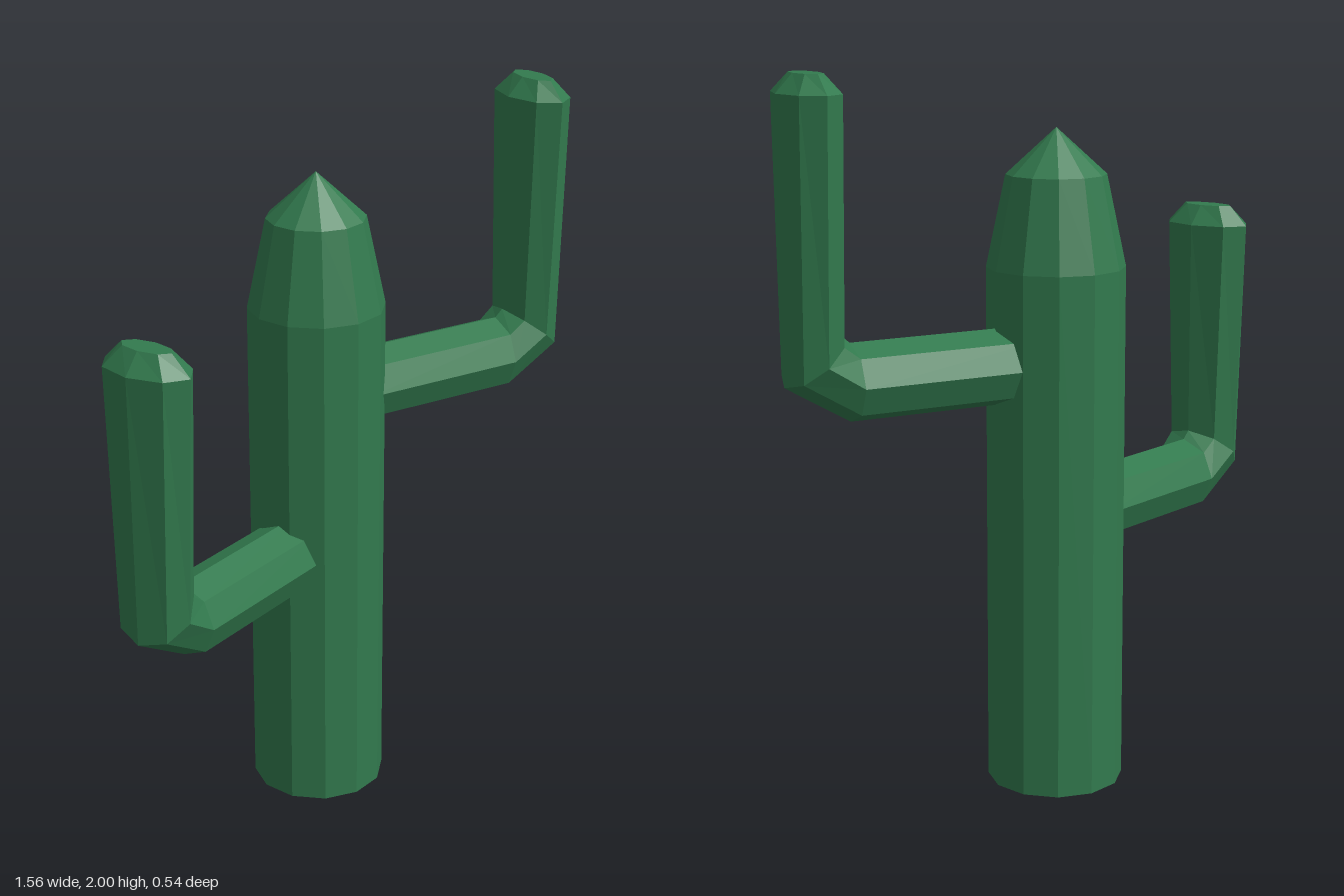
import * as THREE from 'three';

const SIDES = 8;

// Skin a list of rings (each an array of SIDES points) and close the last one
function loft(rings) {
  const pos = rings.flat(2);
  const idx = [];
  for (let i = 0; i < rings.length - 1; i++) {
    for (let j = 0; j < SIDES; j++) {
      const k = (j + 1) % SIDES;
      const a = i * SIDES + j, b = i * SIDES + k;
      const c = a + SIDES, d = b + SIDES;
      idx.push(a, c, d, a, d, b);
    }
  }
  const last = (rings.length - 1) * SIDES;
  for (let j = 1; j < SIDES - 1; j++) idx.push(last, last + j + 1, last + j);
  const indexed = new THREE.BufferGeometry();
  indexed.setAttribute('position', new THREE.Float32BufferAttribute(pos, 3));
  indexed.setIndex(idx);
  const geo = indexed.toNonIndexed();
  geo.computeVertexNormals();
  return geo;
}

function ring(fn) {
  return Array.from({ length: SIDES }, (_, j) => {
    const t = (j / SIDES) * Math.PI * 2;
    return fn(Math.cos(t), Math.sin(t));
  });
}

// Arm reaching out along +x, then turning upwards
function armGeometry(y, shoulder, tip) {
  const reach = 0.713;
  const across = (x, r) => ring((c, s) => [x, y + r * s, r * c]);
  const upright = (h, depth, width, tilt = 0) =>
    ring((c, s) => [reach - depth * s, h + tilt * s, width * c]);
  return loft([
    across(0.1, 0.105),
    across(0.61, 0.105),
    upright(y + 0.065, 0.08, 0.11, 0.062), // slanted elbow ring
    upright(shoulder, 0.083, 0.137),       // widened top
    upright(tip, 0.036, 0.08),             // bevelled cap
  ]);
}

export function createModel() {
  const model = new THREE.Group();
  model.name = 'cactus';
  const green = new THREE.MeshStandardMaterial({
    color: 0x327a4e, flatShading: true, side: THREE.DoubleSide,
  });
  const cx = -0.02, cz = -0.085;

  // Trunk with tapered crown, open underneath
  const profile = [[0.19, 0], [0.19, 1.46], [0.137, 1.71], [0, 1.835]]
    .map(([r, y]) => new THREE.Vector2(r, y));
  const trunk = new THREE.Mesh(new THREE.LatheGeometry(profile, 12), green);
  trunk.name = 'trunk';
  trunk.position.set(cx, 0, cz);
  model.add(trunk);

  // Arms: name, height, shoulder height, tip height, heading
  const arms = [
    ['leftArm', 1.2, 1.95, 2.0, -0.07],
    ['rightArm', 0.76, 1.505, 1.56, Math.PI + 0.32],
  ];
  for (const [name, y, shoulder, tip, heading] of arms) {
    const arm = new THREE.Mesh(armGeometry(y, shoulder, tip), green);
    arm.name = name;
    arm.position.set(cx, 0, cz);
    arm.rotation.y = heading;
    model.add(arm);
  }
  return model;
}
